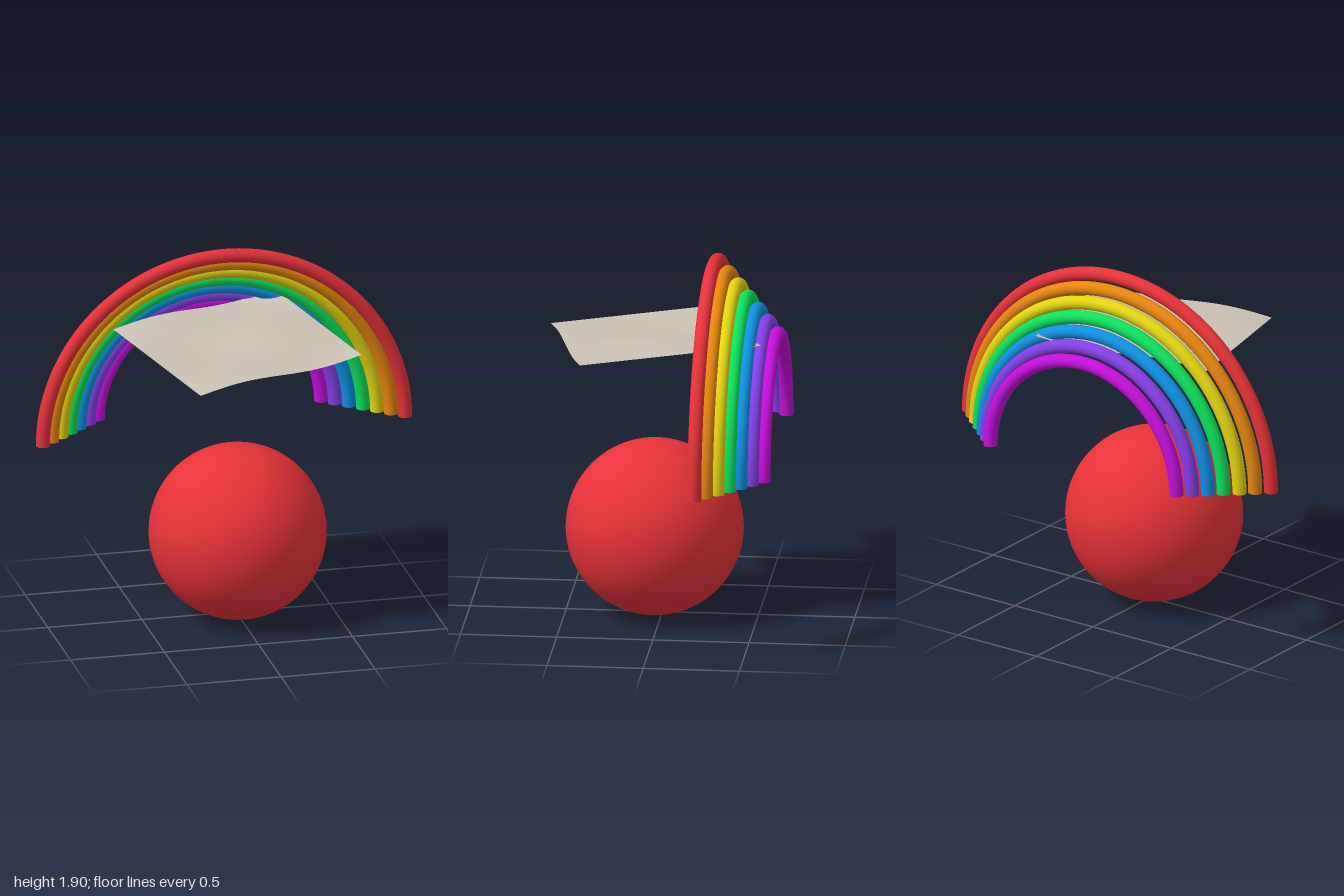
import * as THREE from 'three';

const material = (name, color, side = THREE.FrontSide) => {
  const m = new THREE.MeshStandardMaterial({ color, side });
  m.name = name;
  return m;
};

export function createModel() {
  const model = new THREE.Group();
  model.name = 'rainbowBallAndSheet';

  const red = material('red', 0xe63239);
  const bands = [
    red,
    material('orange', 0xe5850f),
    material('yellow', 0xe2d410),
    material('green', 0x0de05a),
    material('blue', 0x0f90e2),
    material('violet', 0x843fe6),
    material('magenta', 0xc40fdc),
  ];
  const stone = material('warmGrey', 0xcac1b5, THREE.DoubleSide);

  // Ball
  const ball = new THREE.Mesh(new THREE.SphereGeometry(0.461, 64, 40), red);
  ball.name = 'ball';
  ball.position.set(0, 0.462, 0.04);
  model.add(ball);

  // Rainbow: half rings that shrink and step backwards, with closed ends
  const tube = 0.0365;
  const rainbow = new THREE.Group();
  rainbow.name = 'rainbow';
  bands.forEach((mat, i) => {
    const radius = 0.9635 - 0.0617 * i;
    const band = new THREE.Group();
    band.name = mat.name + 'Band';
    band.position.set(0, 0.905, -0.262 - 0.0538 * i);
    const arch = new THREE.Mesh(new THREE.TorusGeometry(radius, tube, 20, 72, Math.PI), mat);
    arch.name = 'arch';
    band.add(arch);
    for (const side of [-1, 1]) {
      const cap = new THREE.Mesh(new THREE.CircleGeometry(tube, 20), mat);
      cap.name = 'archEnd';
      cap.rotation.x = Math.PI / 2;
      cap.position.x = side * radius;
      band.add(cap);
    }
    rainbow.add(band);
  });
  model.add(rainbow);

  // Rippled sheet: a tilted square with one wave each way
  const size = 0.947;
  const k = (2 * Math.PI) / size;
  const geo = new THREE.PlaneGeometry(size, size, 32, 32).rotateX(-Math.PI / 2);
  const pos = geo.attributes.position;
  for (let i = 0; i < pos.count; i++) {
    const u = pos.getX(i), v = pos.getZ(i);
    pos.setY(i, 0.063 * (u - v) + 0.016 * Math.sin(k * u) * Math.cos(k * v));
  }
  geo.computeVertexNormals();
  const sheet = new THREE.Mesh(geo, stone);
  sheet.name = 'sheet';
  sheet.position.set(0, 1.5, 0.035);
  sheet.rotation.y = THREE.MathUtils.degToRad(15);
  model.add(sheet);

  return model;
}
